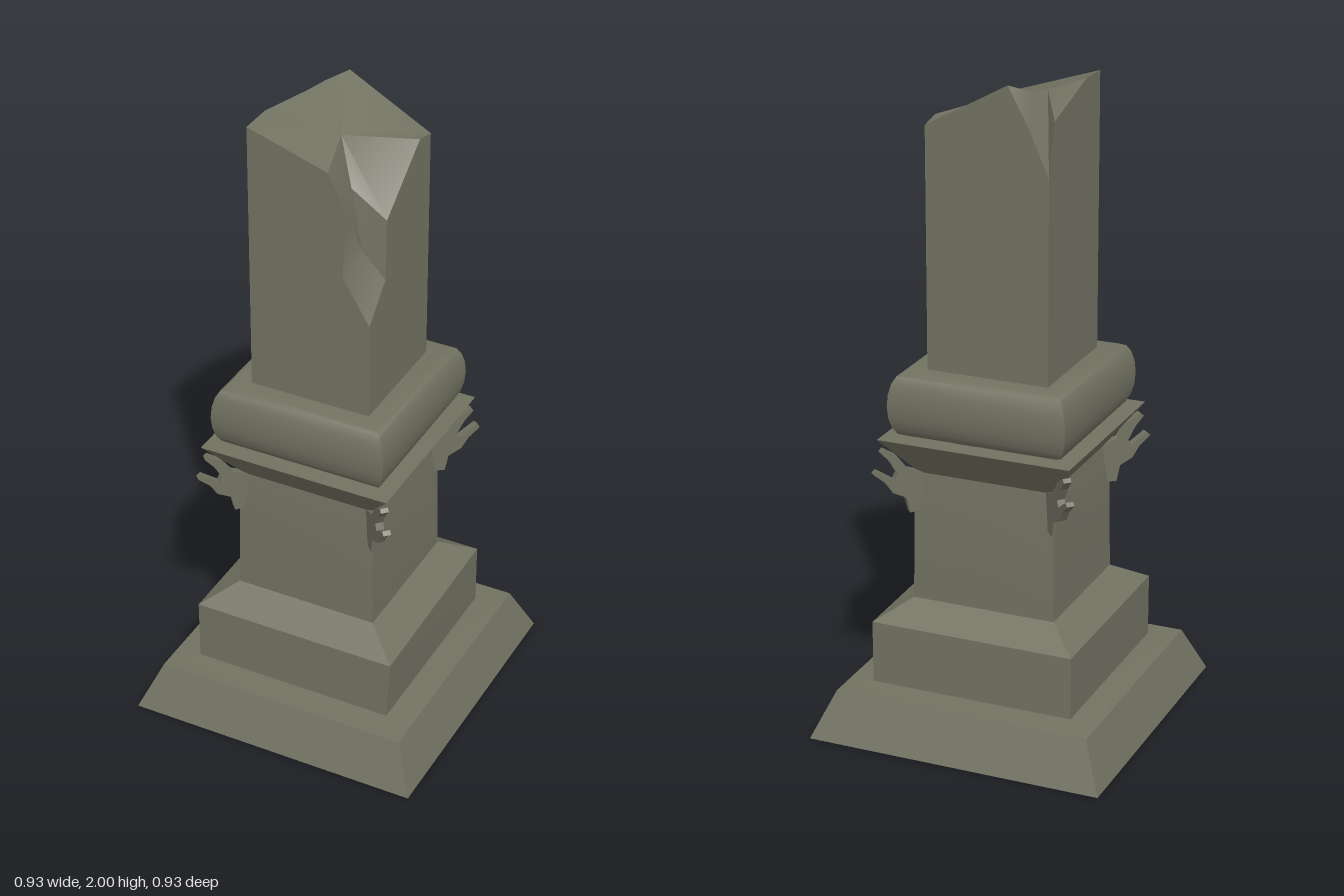
import * as THREE from 'three';
import { toCreasedNormals } from 'three/addons/utils/BufferGeometryUtils.js';

const stone = new THREE.MeshStandardMaterial({ color: 0x727262, side: THREE.DoubleSide });
stone.name = 'weathered stone';

function add(parent, name, geometry) {
  const mesh = new THREE.Mesh(geometry, stone);
  mesh.name = name;
  parent.add(mesh);
  return mesh;
}

// Square section swept up a profile of [half width, height]
function squareLathe(profile, adjust) {
  const points = profile.map(([w, y]) => new THREE.Vector2(w * Math.SQRT2, y));
  const g = new THREE.LatheGeometry(points, 4, Math.PI / 4);
  if (adjust) {
    const p = g.attributes.position;
    for (let i = 0; i < p.count; i++) adjust(p, i);
  }
  return toCreasedNormals(g, 0.7);
}

// Corners of the broken top: 0-13 run round the rim, 14-18 lie inside it
const H = 0.19;
const P = [
  [-H, 1.97, H], [0.06, 1.89, H], [0.12, 1.77, H], [0.105, 1.57, H], [H, 1.43, H],
  [H, 1.53, 0.09], [H, 1.72, 0.085], [H, 1.875, -0.12], [H, 1.86, -H],
  [-0.065, 2, -H], [-0.13, 1.88, -H], [-H, 1.745, -H], [-H, 1.9, -0.15], [-H, 1.97, 0.085],
  [-0.14, 1.97, -0.08], [-0.12, 1.975, -0.14], [0.02, 1.92, 0.03], [0.085, 1.8, 0.095], [0.125, 1.62, 0.11],
];

function brokenShaft() {
  const group = new THREE.Group();
  group.name = 'brokenShaft';

  // Four walls, each cut along its stretch of the rim
  const walls = [['frontWall', 0, 4], ['leftWall', 4, 8], ['backWall', 8, 11], ['rightWall', 11, 14]];
  walls.forEach(([name, from, to], k) => {
    const shape = new THREE.Shape().moveTo(H, 1.125).lineTo(-H, 1.125);
    for (let i = from; i <= to; i++) {
      const [x, y, z] = P[i % 14];
      shape.lineTo([x, -z, -x, z][k], y);
    }
    const g = new THREE.ShapeGeometry(shape);
    g.translate(0, 0, H).rotateY(k * Math.PI / 2);
    add(group, name, g);
  });

  // Fractured surface: sloping top, front notch, rear chip
  const top = [13, 0, 16, 0, 1, 16, 1, 17, 16, 17, 6, 16, 6, 7, 16, 7, 8, 16, 8, 9, 16, 9, 15, 16, 15, 14, 16, 14, 13, 16];
  const notch = [1, 2, 17, 2, 18, 17, 2, 3, 18, 3, 4, 18, 4, 5, 18, 5, 6, 18, 6, 17, 18];
  const chip = [9, 10, 15, 10, 14, 15, 10, 11, 14, 11, 12, 14, 12, 13, 14];
  const g = new THREE.BufferGeometry();
  g.setAttribute('position', new THREE.Float32BufferAttribute(P.flat(), 3));
  g.setIndex([...top, ...notch, ...chip]);
  add(group, 'fracture', toCreasedNormals(g, 0.65));
  return group;
}

// Thin leaf-shaped bracket, drawn outward along +x from the corner edge
function bracketGeometry() {
  const outline = [
    [0.2, 0.695], [0.235, 0.69], [0.243, 0.74], [0.272, 0.76], [0.288, 0.795], [0.313, 0.825], [0.305, 0.835],
    [0.268, 0.8], [0.262, 0.82], [0.278, 0.86], [0.297, 0.89], [0.29, 0.9], [0.262, 0.875], [0.238, 0.83], [0.2, 0.81],
  ];
  const shape = new THREE.Shape(outline.map(([x, y]) => new THREE.Vector2(x * Math.SQRT2, y)));
  const g = new THREE.ExtrudeGeometry(shape, { depth: 0.024, bevelEnabled: false });
  return g.translate(0, 0, -0.012);
}

export function createModel() {
  const model = new THREE.Group();
  model.name = 'brokenColumn';

  // Hollow stepped base, pedestal and flared cornice; one step corner is slightly skewed
  const pedestal = [
    [0.465, 0], [0.402, 0.145], [0.32, 0.155], [0.32, 0.35], [0.226, 0.41],
    [0.222, 0.69], [0.21, 0.81], [0.303, 0.93], [0.245, 0.932],
  ];
  add(model, 'pedestal', squareLathe(pedestal, (p, i) => {
    if (Math.abs(p.getY(i) - 0.35) < 0.001 && p.getX(i) > 0 && p.getZ(i) > 0) p.setX(i, 0.33);
  }));

  // Rounded square cushion under the shaft
  const cushion = [];
  for (let i = 0; i <= 8; i++) {
    const a = (i / 8 - 0.5) * Math.PI;
    cushion.push([0.243 + 0.037 * Math.cos(a), 1.03 + 0.097 * Math.sin(a)]);
  }
  cushion.push([0.18, 1.127]);
  add(model, 'cushion', squareLathe(cushion));

  model.add(brokenShaft());

  // Diagonal brackets on the four pedestal corners
  const bracket = bracketGeometry();
  for (let k = 0; k < 4; k++) {
    add(model, 'cornerBracket', bracket).rotation.y = Math.PI / 4 + k * Math.PI / 2;
  }
  return model;
}
